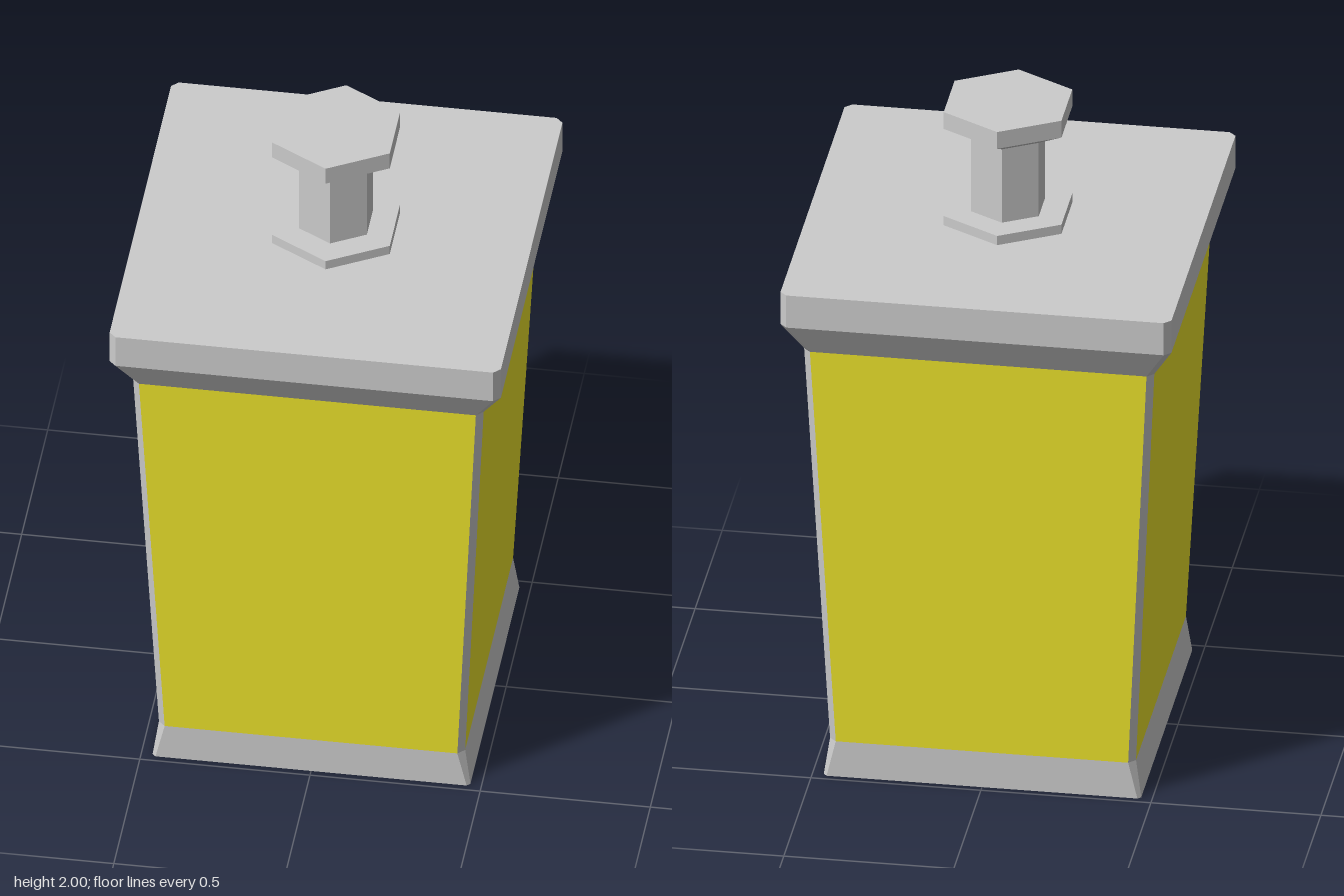
import * as THREE from 'three';

// Rectangle with cut corners at height y: even edges are sides, odd edges are corners
function ring(y, hx, hz, c) {
  return [
    [-hx + c, y, hz], [hx - c, y, hz], [hx, y, hz - c], [hx, y, -hz + c],
    [hx - c, y, -hz], [-hx + c, y, -hz], [-hx, y, -hz + c], [-hx, y, hz - c],
  ];
}

// Quads joining two rings along the chosen edges
function band(lower, upper, edges) {
  return edges.flatMap((i) => {
    const j = (i + 1) % 8;
    return [lower[i], lower[j], upper[j], lower[i], upper[j], upper[i]];
  });
}

// Flat cap over a ring, facing up or down
function cap(r, up) {
  const points = [];
  for (let i = 1; i < 7; i++) points.push(r[0], ...(up ? [r[i], r[i + 1]] : [r[i + 1], r[i]]));
  return points;
}

function mesh(name, points, material) {
  const geometry = new THREE.BufferGeometry();
  geometry.setAttribute('position', new THREE.Float32BufferAttribute(points.flat(), 3));
  geometry.computeVertexNormals();
  const m = new THREE.Mesh(geometry, material);
  m.name = name;
  return m;
}

export function createModel() {
  const group = new THREE.Group();
  group.name = 'lantern';
  const grey = new THREE.MeshStandardMaterial({ color: 0xcccccc, flatShading: true });
  const yellow = new THREE.MeshStandardMaterial({ color: 0xf0e62c, flatShading: true });

  const sides = [0, 2, 4, 6];
  const corners = [1, 3, 5, 7];
  const all = [...sides, ...corners];

  const foot = ring(0, 0.467, 0.48, 0.01);
  const glassBottom = ring(0.115, 0.45, 0.48, 0.02);
  const glassTop = ring(1.42, 0.515, 0.55, 0.02);
  const lidLower = ring(1.525, 0.575, 0.61, 0.02);
  const lidTop = ring(1.63, 0.575, 0.61, 0.02);

  // Base plinth, corner posts and lid
  group.add(mesh('base', [...cap(foot, false), ...band(foot, glassBottom, all)], grey));
  group.add(mesh('cornerPosts', band(glassBottom, glassTop, corners), grey));
  group.add(mesh('lid', [
    ...band(glassTop, lidLower, all), ...band(lidLower, lidTop, all), ...cap(lidTop, true),
  ], grey));

  // Four glowing panes
  ['frontPane', 'leftPane', 'backPane', 'rightPane'].forEach((name, i) => {
    group.add(mesh(name, band(glassBottom, glassTop, [sides[i]]), yellow));
  });

  // Six-sided finial: collar, stem and flared cap
  const profile = [
    [0.2, 1.63], [0.2, 1.66], [0.115, 1.66], [0.115, 1.9], [0.2, 1.945], [0.2, 2], [0, 2],
  ].map(([r, y]) => new THREE.Vector2(r, y));
  const finial = new THREE.Mesh(new THREE.LatheGeometry(profile, 6), grey);
  finial.name = 'finial';
  group.add(finial);

  return group;
}
